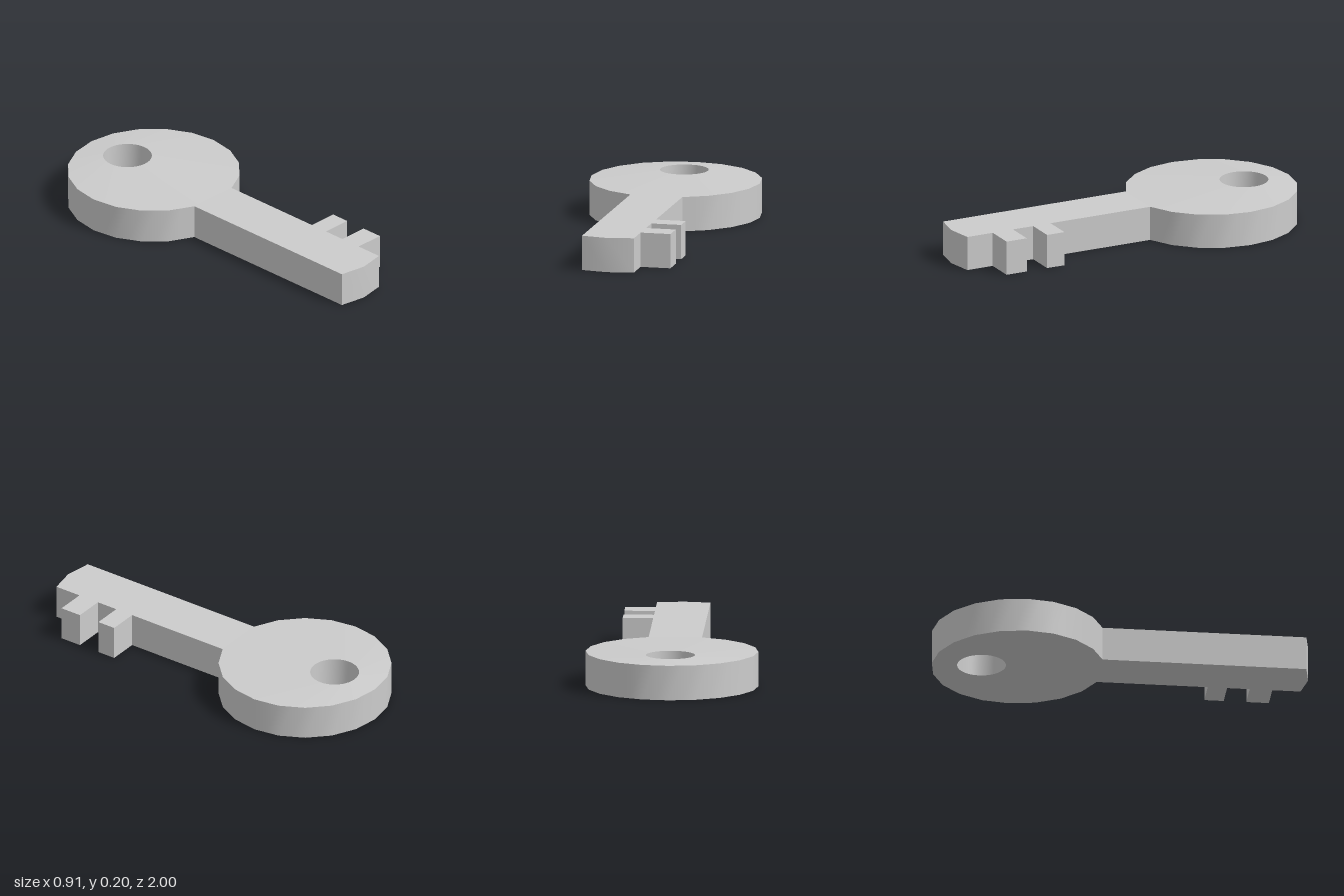
import * as THREE from 'three';
import { toCreasedNormals } from 'three/addons/utils/BufferGeometryUtils.js';

const HEIGHT = 0.185;      // height of shaft and outer rim
const HOLE_HEIGHT = 0.198; // the bow rises slightly towards its hole
const BOW = { z: -0.543, r: 0.457, sides: 20 };
const HOLE = { z: -0.736, r: 0.129 };
const CREASE = 0.4;

// Point on the bow outline; the corner facing the shaft is cut to a straight edge
function bowCorner(k) {
  const n = BOW.sides;
  const a = ((k % n) / n) * Math.PI * 2;
  const z = k % n === 0 ? Math.cos((Math.PI * 2) / n) : Math.cos(a);
  return new THREE.Vector2(Math.sin(a) * BOW.r, BOW.z + z * BOW.r);
}

// Ring-shaped bow: outer wall, sloping top, hole wall and flat base
function bowGeometry() {
  const count = BOW.sides * 2;
  const outer = [], inner = [];
  for (let i = 0; i < count; i++) {
    const k = Math.floor(i / 2);
    outer.push(bowCorner(k).lerp(bowCorner(k + 1), (i % 2) / 2));
    const a = (i / count) * Math.PI * 2;
    inner.push(new THREE.Vector2(Math.sin(a) * HOLE.r, HOLE.z + Math.cos(a) * HOLE.r));
  }
  const rings = [[outer, 0], [outer, HEIGHT], [inner, HOLE_HEIGHT], [inner, 0]];
  const pos = [], index = [];
  for (const [ring, y] of rings) for (const p of ring) pos.push(p.x, y, p.y);
  for (let r = 0; r < 4; r++) {
    for (let i = 0; i < count; i++) {
      const j = (i + 1) % count;
      const a = r * count, b = ((r + 1) % 4) * count;
      index.push(a + i, a + j, b + j, a + i, b + j, b + i);
    }
  }
  const g = new THREE.BufferGeometry();
  g.setAttribute('position', new THREE.Float32BufferAttribute(pos, 3));
  g.setIndex(index);
  return toCreasedNormals(g, CREASE);
}

// Shaft with pointed tip and two teeth, drawn in x and z
function shaftGeometry() {
  const w = BOW.r * Math.sin(Math.PI / 10), tooth = 0.303;
  const start = BOW.z + BOW.r * Math.cos(Math.PI / 10);
  const outline = [[-w, start], [-w, 0.975], [0, 1], [w, 0.975]];
  for (const [front, back] of [[0.825, 0.705], [0.585, 0.482]]) {
    outline.push([w, front], [tooth, front], [tooth, back], [w, back]);
  }
  outline.push([w, start]);
  const shape = new THREE.Shape(outline.map(([x, z]) => new THREE.Vector2(x, -z)));
  const g = new THREE.ExtrudeGeometry(shape, { depth: HEIGHT, bevelEnabled: false });
  return toCreasedNormals(g.rotateX(-Math.PI / 2), CREASE);
}

export function createModel() {
  const group = new THREE.Group();
  group.name = 'key';
  const material = new THREE.MeshStandardMaterial({ color: 0xcccccc });
  const add = (name, geometry) => {
    const mesh = new THREE.Mesh(geometry, material);
    mesh.name = name;
    group.add(mesh);
  };
  add('bow', bowGeometry());
  add('shaftAndTeeth', shaftGeometry());
  return group;
}
